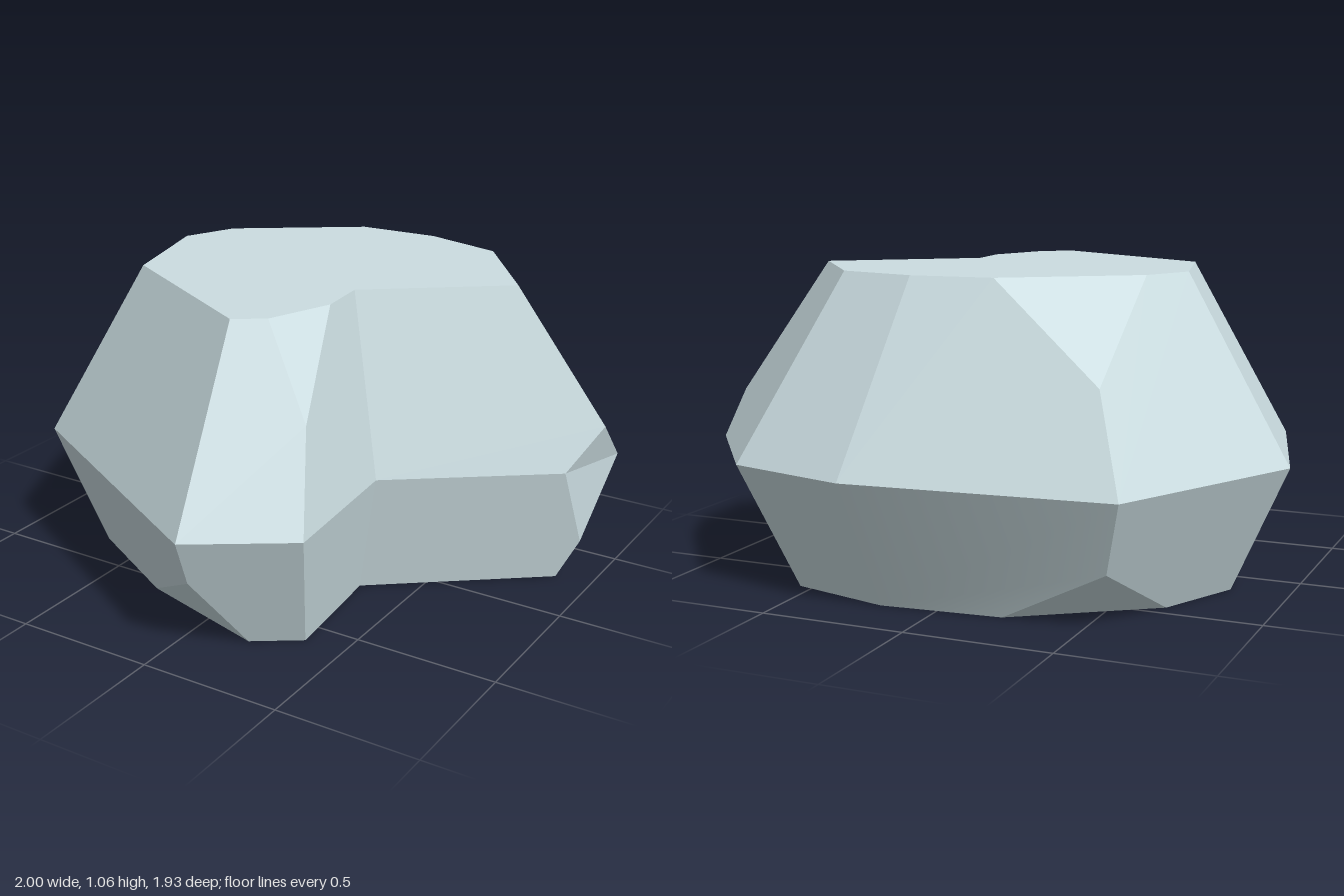
import * as THREE from 'three';

// Corner points of the boulder. Each ring runs from the left end of the front view round by the front.
const MID = 0.44, TOP = 1.06;
const ring = (y, pts) => Object.fromEntries(
  Object.entries(pts).map(([name, [x, z]]) => [name, new THREE.Vector3(x, y, z)]));

const base = ring(0, {
  a0: [-0.80, -0.16], b0: [-0.67, 0.345], c1: [-0.28, 0.565], c2: [0.20, 0.70],
  d0: [0.355, 0.595], e0: [0.315, 0.17], f0: [0.87, -0.26], i0: [0.55, -0.69],
  j0: [0.195, -0.78], k3: [-0.22, -0.743], k4: [-0.665, -0.44],
});
const girth = ring(MID, {
  A: [-1, -0.20], B: [-0.83, 0.43], C: [0.11, 0.96], D: [0.44, 0.74], E: [0.395, 0.21],
  F: [0.915, -0.18], H: [1, -0.44], I: [0.68, -0.855], J: [0.24, -0.97], K: [-0.66, -0.89],
});
const crown = ring(TOP, {
  a: [-0.63, -0.145], b: [-0.53, 0.25], c: [0.07, 0.585], d1: [0.17, 0.518], d2: [0.26, 0.29],
  e: [0.245, 0.11], f: [0.685, -0.225], i: [0.43, -0.56], j: [0.15, -0.63],
  k1: [-0.135, -0.61], k2: [-0.545, -0.325],
});
// Points where chipped corners meet the long edges
const chips = {
  M: new THREE.Vector3(0.355, 0.76, 0.589), N: new THREE.Vector3(-0.54, 0.75, -0.735),
  G: new THREE.Vector3(1, 0.59, -0.30), P: new THREE.Vector3(0.945, 0.15, -0.28),
  Q: new THREE.Vector3(0.10, 0.27, 0.89), R: new THREE.Vector3(-0.587, 0.19, -0.79),
};
const points = { ...base, ...girth, ...crown, ...chips };

const upperFaces = ['A B b a', 'B C c b', 'C D M d1 c', 'D E e d2 M', 'E F G f e',
  'H I i f G', 'I J j i', 'J K N k1 j', 'K A a k2 N'];
const lowerFaces = ['a0 b0 B A', 'b0 c1 Q C B', 'c2 d0 D C Q', 'd0 e0 E D', 'e0 f0 P F E',
  'f0 i0 I H P', 'i0 j0 J I', 'j0 k3 R K J', 'k4 a0 A K R'];
const chipFaces = ['M d2 d1', 'N k2 k1', 'H G F', 'P H F', 'c1 c2 Q', 'k3 k4 R'];

// One normal for a whole polygon, so each facet is evenly shaded
function faceNormal(p) {
  const sum = new THREE.Vector3();
  p.forEach((v, n) => sum.add(v.clone().cross(p[(n + 1) % p.length])));
  return sum.normalize();
}

// Convex polygons split into fans; corners named in soft blend across their faces
function polygons(faces, soft = []) {
  const loops = faces.map((face) => face.split(' '));
  const normals = loops.map((names) => faceNormal(names.map((name) => points[name])));
  const blended = {};
  for (const name of soft) {
    blended[name] = new THREE.Vector3();
    loops.forEach((names, f) => names.includes(name) && blended[name].add(normals[f]));
    blended[name].normalize();
  }
  const position = [], normal = [];
  loops.forEach((names, f) => {
    for (let n = 1; n < names.length - 1; n++) {
      for (const name of [names[0], names[n], names[n + 1]]) {
        position.push(...points[name].toArray());
        normal.push(...(blended[name] ?? normals[f]).toArray());
      }
    }
  });
  const geometry = new THREE.BufferGeometry();
  geometry.setAttribute('position', new THREE.Float32BufferAttribute(position, 3));
  geometry.setAttribute('normal', new THREE.Float32BufferAttribute(normal, 3));
  return geometry;
}

// Flat notched cap that closes a ring
function cap(ringPoints, down) {
  const p = Object.values(ringPoints);
  const tris = THREE.ShapeUtils.triangulateShape(p.map((v) => new THREE.Vector2(v.x, -v.z)), []);
  const geometry = new THREE.BufferGeometry().setFromPoints(p);
  geometry.setIndex(tris.flatMap(([r, s, t]) => (down ? [r, t, s] : [r, s, t])));
  geometry.computeVertexNormals();
  return geometry;
}

export function createModel() {
  const stone = new THREE.MeshStandardMaterial({ color: 0xcbdde1 });
  stone.name = 'pale blue grey stone';

  const group = new THREE.Group();
  group.name = 'boulder';
  const add = (name, geometry) => {
    const mesh = new THREE.Mesh(geometry, stone);
    mesh.name = name;
    group.add(mesh);
  };
  add('upperSides', polygons(upperFaces));
  add('lowerSides', polygons(lowerFaces, ['J', 'j0']));
  add('chippedCorners', polygons(chipFaces));
  add('flatTop', cap(crown, false));
  add('underside', cap(base, true));
  return group;
}
